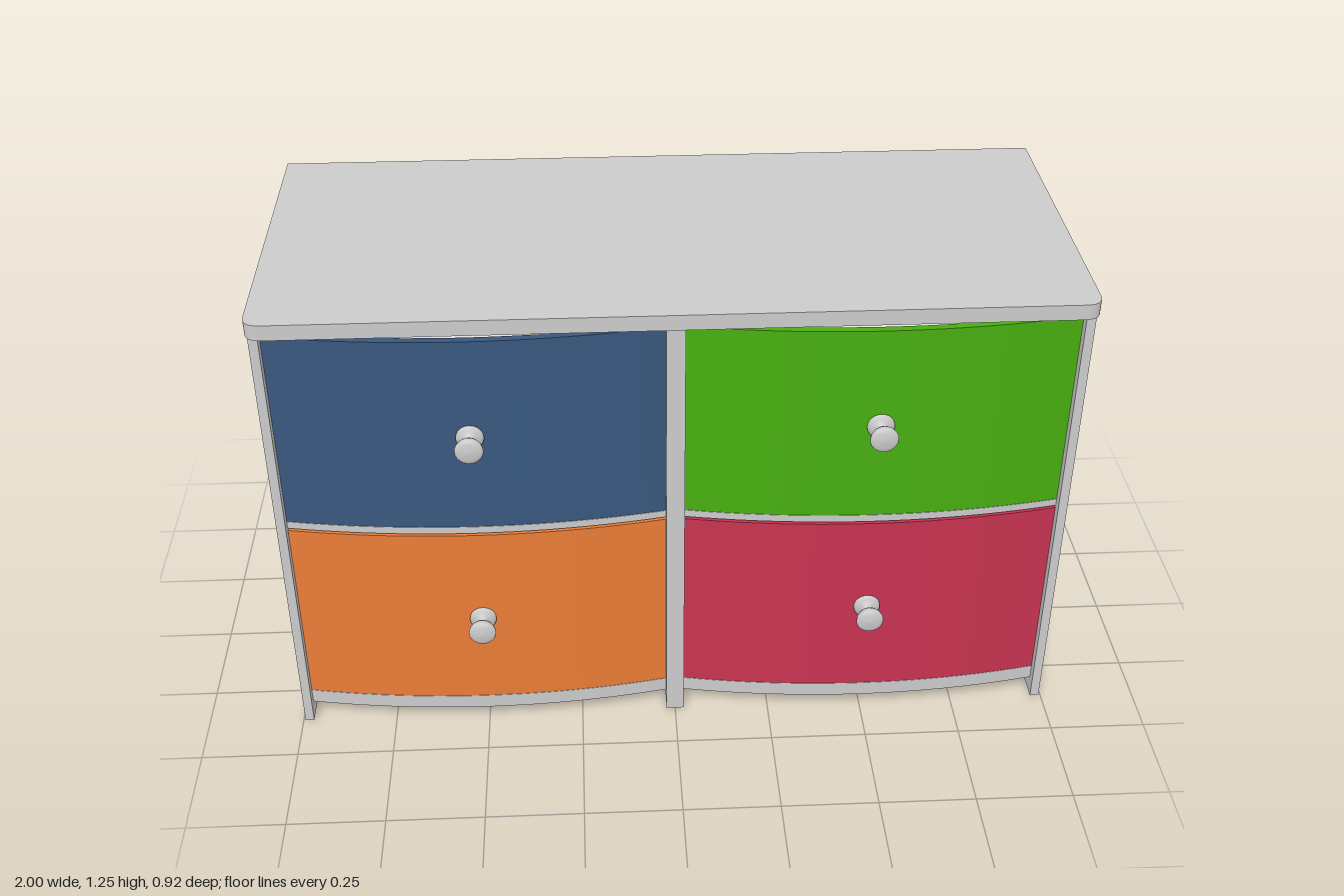
import * as THREE from 'three';

const GREY = 0xcccccc;
const BACK = -0.46;
const EDGE = 0.345; // front depth at the sides of a bay
const BULGE = 0.045; // how far the bowed front stands out mid-bay
const BAY = 0.95; // clear width of one bay
const material = (color) => new THREE.MeshStandardMaterial({ color });

function mesh(name, geometry, color = GREY) {
  const m = new THREE.Mesh(geometry, material(color));
  m.name = name;
  return m;
}

function box(name, x0, x1, y0, y1, z0, z1) {
  const m = mesh(name, new THREE.BoxGeometry(x1 - x0, y1 - y0, z1 - z0));
  m.position.set((x0 + x1) / 2, (y0 + y1) / 2, (z0 + z1) / 2);
  return m;
}

// Extrudes a plan outline (x, z) upwards from y0 to y1
function slab(shape, y0, y1) {
  const g = new THREE.ExtrudeGeometry(shape, { depth: y1 - y0, bevelEnabled: false, curveSegments: 8 });
  g.rotateX(Math.PI / 2);
  g.translate(0, y1, 0);
  return g;
}

// Plan of a board with a bowed front; the back is straight, or bowed to match
function bowedPlan(back, thickness) {
  const n = 20, half = BAY / 2, pts = [];
  const bow = (x) => EDGE + BULGE * (1 - (x / half) ** 2);
  for (let i = 0; i <= n; i++) {
    const x = -half + (BAY * i) / n;
    pts.push(new THREE.Vector2(x, bow(x)));
  }
  if (thickness) {
    for (let i = n; i >= 0; i--) {
      const x = -half + (BAY * i) / n;
      pts.push(new THREE.Vector2(x, bow(x) - thickness));
    }
  } else {
    pts.push(new THREE.Vector2(half, back), new THREE.Vector2(-half, back));
  }
  return new THREE.Shape(pts);
}

// Turned knob: flared foot, thin stem and mushroom head
function knobGeometry() {
  const profile = [
    [0, -0.005], [0.034, -0.005], [0.034, 0.004], [0.026, 0.008], [0.014, 0.012],
    [0.01, 0.018], [0.01, 0.031], [0.02, 0.035], [0.028, 0.042], [0.033, 0.051],
    [0.035, 0.06], [0.033, 0.064], [0.022, 0.068], [0, 0.07],
  ].map(([r, y]) => new THREE.Vector2(r, y));
  const g = new THREE.LatheGeometry(profile, 24);
  g.rotateX(Math.PI / 2);
  return g;
}

export function createModel() {
  const model = new THREE.Group();
  model.name = 'drawerCabinet';

  // Top with rounded front corners
  const r = 0.045, front = 0.405;
  const plan = new THREE.Shape();
  plan.moveTo(-1, BACK);
  plan.lineTo(1, BACK);
  plan.lineTo(1, front - r);
  plan.quadraticCurveTo(1, front, 1 - r, front);
  plan.lineTo(-1 + r, front);
  plan.quadraticCurveTo(-1, front, -1, front - r);
  model.add(mesh('top', slab(plan, 1.205, 1.245)));

  // Outer sides and the paired centre panels, mirrored
  for (const s of [-1, 1]) {
    const side = s < 0 ? 'right' : 'left';
    const panel = (name, a, b) =>
      model.add(box(name, Math.min(s * a, s * b), Math.max(s * a, s * b), 0, 1.205, BACK, 0.37));
    panel(side + 'SidePanel', 0.972, 0.995);
    panel(side + 'CentrePanel', 0, 0.023);
  }

  // Two bays, each with two shelves and two bowed drawer fronts
  const bays = [
    { x: -0.4975, side: 'right', lower: 0xeb7d38, upper: 0x38587e },
    { x: 0.4975, side: 'left', lower: 0xc83351, upper: 0x48ae10 },
  ];
  const shelfPlan = bowedPlan(BACK);
  const frontPlan = bowedPlan(0, 0.02);
  const knob = knobGeometry();
  for (const { x, side, lower, upper } of bays) {
    const bay = new THREE.Group();
    bay.name = side + 'Bay';
    bay.position.x = x;
    bay.add(mesh('bottomShelf', slab(shelfPlan, 0.045, 0.085)));
    bay.add(mesh('middleShelf', slab(shelfPlan, 0.625, 0.645)));
    const drawers = [['lower', 0.086, 0.618, lower], ['upper', 0.646, 1.18, upper]];
    for (const [level, y0, y1, color] of drawers) {
      bay.add(mesh(level + 'DrawerFront', slab(frontPlan, y0, y1), color));
      const k = mesh(level + 'Knob', knob);
      k.position.set(0, (y0 + y1) / 2, EDGE + BULGE);
      bay.add(k);
    }
    model.add(bay);
  }
  return model;
}
